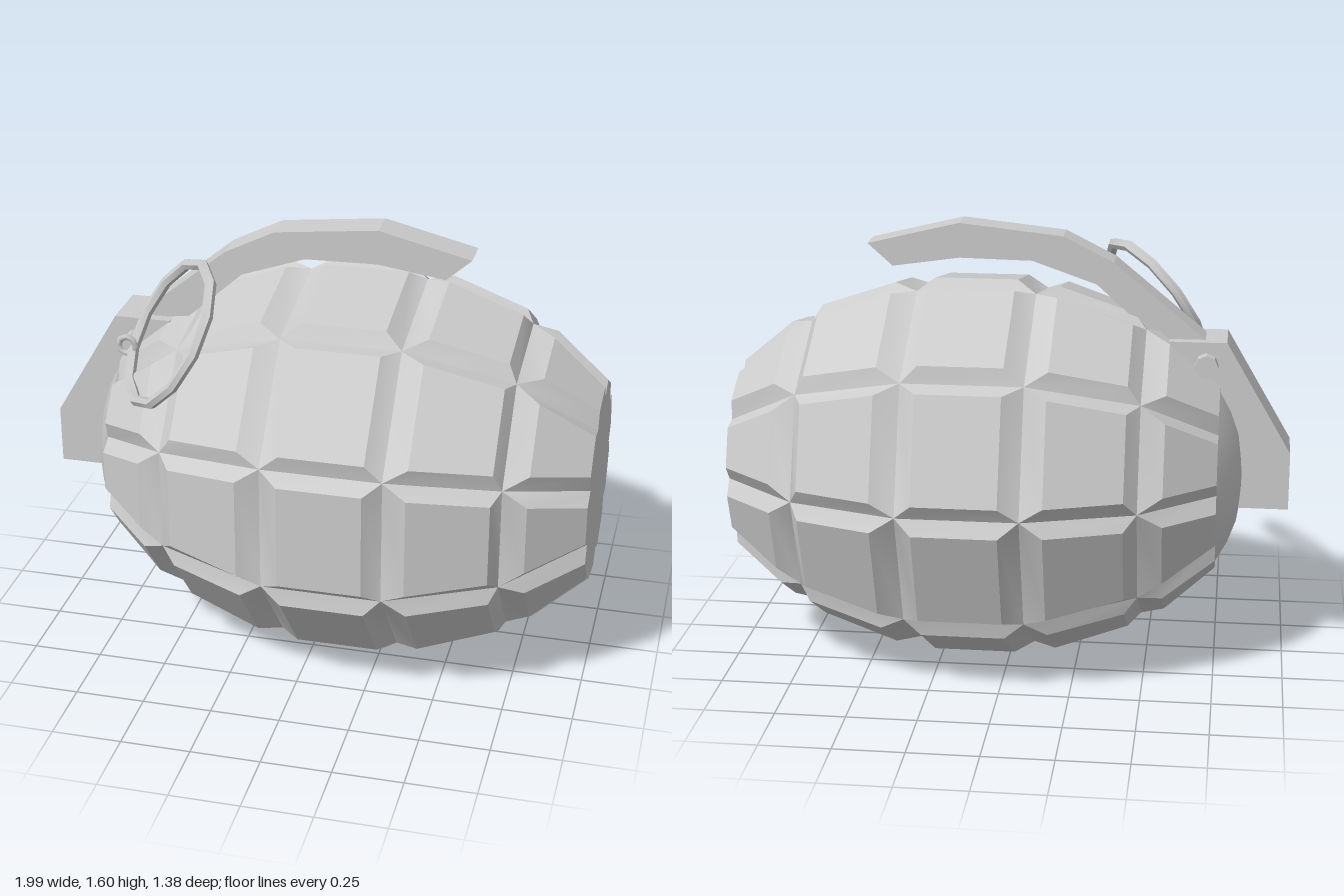
import * as THREE from 'three';
import { toCreasedNormals } from 'three/addons/utils/BufferGeometryUtils.js';

const CY = 0.703, CZ = 0.01;          // body axis runs along x
const SIDES = 9, STEP = Math.PI * 2 / SIDES, BEVEL = 0.053;

// Point around the body axis: radius r along a groove direction, shifted sideways by lat
function around(x, r, k, lat = 0) {
  const a = k * STEP;
  return [x, r * Math.sin(a) + lat * Math.cos(a), -r * Math.cos(a) + lat * Math.sin(a)];
}

// Body of raised, bevelled panels separated by V grooves
function bodyGeometry() {
  // groove crossings [x, radius]
  const grooves = [[-0.745, 0.31], [-0.48, 0.545], [-0.09, 0.67], [0.335, 0.67], [0.72, 0.545], [0.993, 0.31]];
  // raised faces: [x start, radius, x end, radius]
  const tops = [
    [-0.745, 0.355, -0.565, 0.515],
    [-0.435, 0.585, -0.17, 0.68],
    [-0.02, 0.702, 0.275, 0.702],
    [0.42, 0.68, 0.69, 0.585],
    [0.805, 0.515, 0.993, 0.355],
  ];
  const pos = [];
  const quad = (a, b, c, d) => pos.push(...a, ...b, ...c, ...a, ...c, ...d);
  for (let k = 0; k < SIDES; k++) {
    tops.forEach(([x0, r0, x1, r1], i) => {
      const [g0, q0] = grooves[i], [g1, q1] = grooves[i + 1];
      const base = [around(g0, q0, k), around(g0, q0, k + 1), around(g1, q1, k + 1), around(g1, q1, k)];
      const top = [around(x0, r0, k, BEVEL), around(x0, r0, k + 1, -BEVEL),
        around(x1, r1, k + 1, -BEVEL), around(x1, r1, k, BEVEL)];
      quad(...top);
      for (let j = 0; j < 4; j++) {
        const n = (j + 1) % 4;
        quad(base[j], base[n], top[n], top[j]);
      }
    });
    // flat end
    pos.push(0.993, 0, 0, ...around(0.993, 0.31, k), ...around(0.993, 0.31, k + 1));
  }
  const geo = new THREE.BufferGeometry();
  geo.setAttribute('position', new THREE.Float32BufferAttribute(pos, 3));
  return toCreasedNormals(geo, 0.5);
}

// Side outline extruded across z, centred on the body
function slab(points, width) {
  const shape = new THREE.Shape(points.map(([x, y]) => new THREE.Vector2(x, y)));
  const geo = new THREE.ExtrudeGeometry(shape, { depth: width, bevelEnabled: false });
  return geo.translate(0, 0, CZ - width / 2);
}

export function createModel() {
  const model = new THREE.Group();
  const grey = new THREE.MeshStandardMaterial({ color: 0xcccccc });
  grey.name = 'plain grey';
  const add = (name, geo, x = 0, y = 0, z = 0) => {
    const mesh = new THREE.Mesh(geo, grey);
    mesh.name = name;
    mesh.position.set(x, y, z);
    model.add(mesh);
    return mesh;
  };

  add('segmentedBody', bodyGeometry(), 0, CY, CZ);

  // Rounded shoulder closing the neck end
  const dome = [[0.34, 0.745], [0.27, 0.785], [0.19, 0.815], [0.1, 0.83], [0, 0.832]]
    .map(([r, h]) => new THREE.Vector2(r, h));
  add('shoulderDome', new THREE.LatheGeometry(dome, 18).rotateZ(Math.PI / 2), 0, CY, CZ);

  // Head block and curved lever
  add('headBlock', slab([[-1, 0.59], [-0.78, 0.59], [-0.56, 1.0], [-0.56, 1.2], [-0.765, 1.2], [-1, 0.8]], 0.2));
  add('lever', slab([[-0.6, 1.12], [-0.3, 1.39], [-0.07, 1.47], [0.19, 1.475], [0.43, 1.44],
    [0.52, 1.52], [0.19, 1.6], [-0.18, 1.56], [-0.36, 1.47], [-0.725, 1.17]], 0.122));

  // Cross pin with its head at the back and an eyelet at the front
  const rod = (r, len) => toCreasedNormals(new THREE.CylinderGeometry(r, r, len, 8).rotateX(Math.PI / 2), 0.5);
  add('pinShank', rod(0.024, 0.34), -0.695, 1.13, 0.02);
  add('pinHead', rod(0.042, 0.045), -0.695, 1.13, -0.148);
  add('pinEyelet', new THREE.TorusGeometry(0.032, 0.012, 6, 8), -0.695, 1.13, 0.195);

  // Tilted pull ring
  const ring = add('pullRing', toCreasedNormals(new THREE.TorusGeometry(0.265, 0.02, 6, 12), 0.6), -0.495, 1.25, 0.315);
  ring.quaternion.setFromUnitVectors(new THREE.Vector3(0, 0, 1), new THREE.Vector3(0.73, -0.52, -0.45).normalize());

  return model;
}
